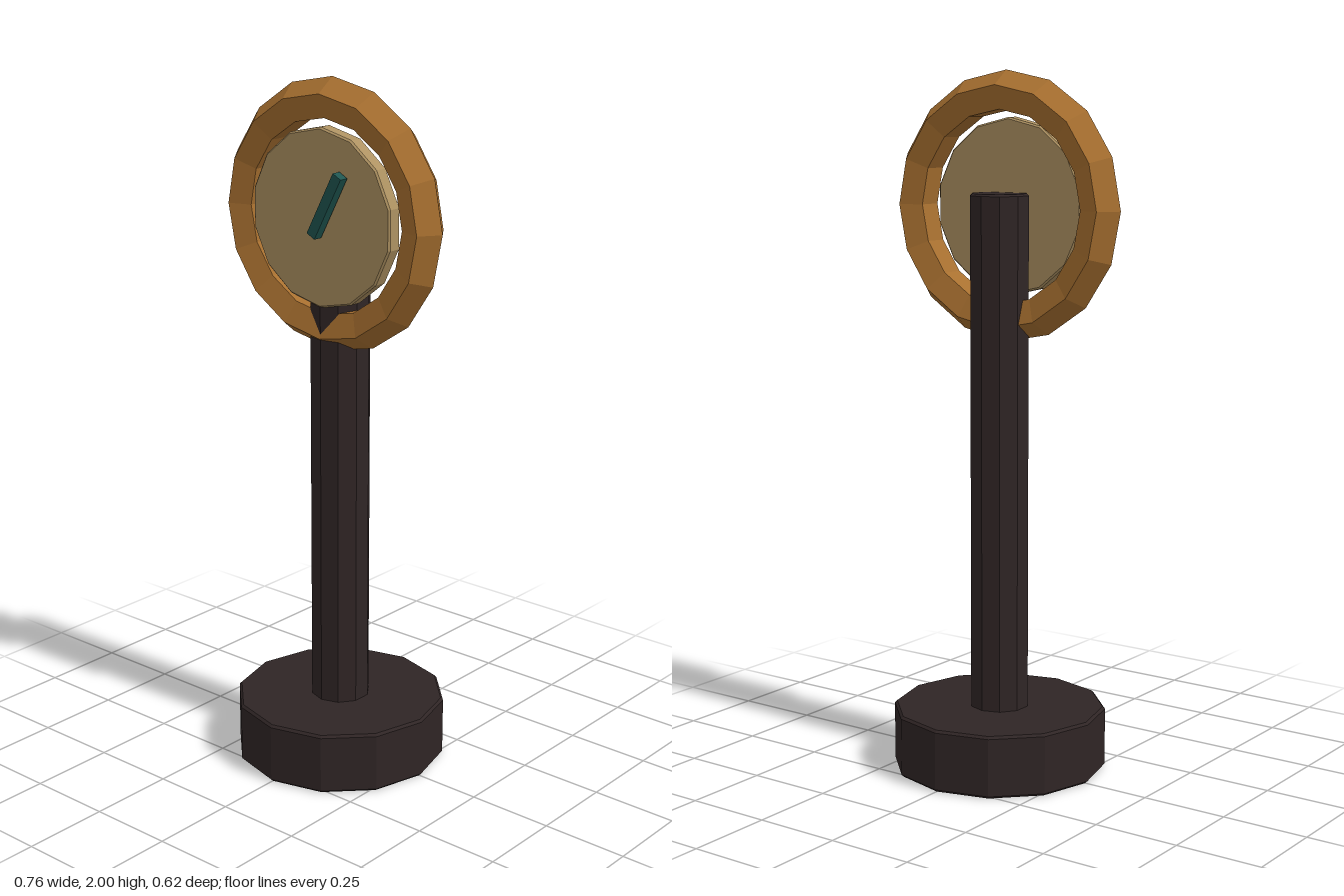
import * as THREE from 'three';

// Faceted normals baked into the geometry
function faceted(geometry) {
  const g = geometry.index ? geometry.toNonIndexed() : geometry;
  g.computeVertexNormals();
  return g;
}

// Upright prism from y0 to y1 with a small bevel on both rims
function bevelledPrism(radius, y0, y1, bevel, sides) {
  const profile = [
    [0, y0], [radius - bevel, y0], [radius, y0 + bevel],
    [radius, y1 - bevel], [radius - bevel, y1], [0, y1],
  ].map(([r, y]) => new THREE.Vector2(r, y));
  return faceted(new THREE.LatheGeometry(profile, sides));
}

export function createModel() {
  const group = new THREE.Group();

  const material = (name, color) => {
    const m = new THREE.MeshStandardMaterial({ color });
    m.name = name;
    return m;
  };
  const darkWood = material('dark brown', 0x2f2525);
  const bronze = material('bronze', 0xa87030);
  const tan = material('tan', 0xae9262);
  const teal = material('dark teal', 0x1f5550);

  const add = (name, geometry, mat, x = 0, y = 0, z = 0) => {
    const mesh = new THREE.Mesh(geometry, mat);
    mesh.name = name;
    mesh.position.set(x, y, z);
    group.add(mesh);
    return mesh;
  };

  // Stand
  add('base', bevelledPrism(0.308, 0, 0.18, 0.007, 12), darkWood);
  add('post', bevelledPrism(0.086, 0.17, 1.66, 0.006, 10), darkWood);

  // Dial head
  const dialY = 1.62;
  add('ring', faceted(new THREE.TorusGeometry(0.32, 0.06, 5, 16)), bronze, 0, dialY, 0.033);
  const face = add('dialFace', bevelledPrism(0.25, -0.023, 0.023, 0.005, 14), tan, 0, dialY, 0.064);
  face.rotation.x = Math.PI / 2;

  // Pointer
  const pointer = add('pointer', new THREE.BoxGeometry(0.031, 0.198, 0.028), teal, 0.043, 1.664, 0.107);
  pointer.rotation.z = -0.49;

  return group;
}
